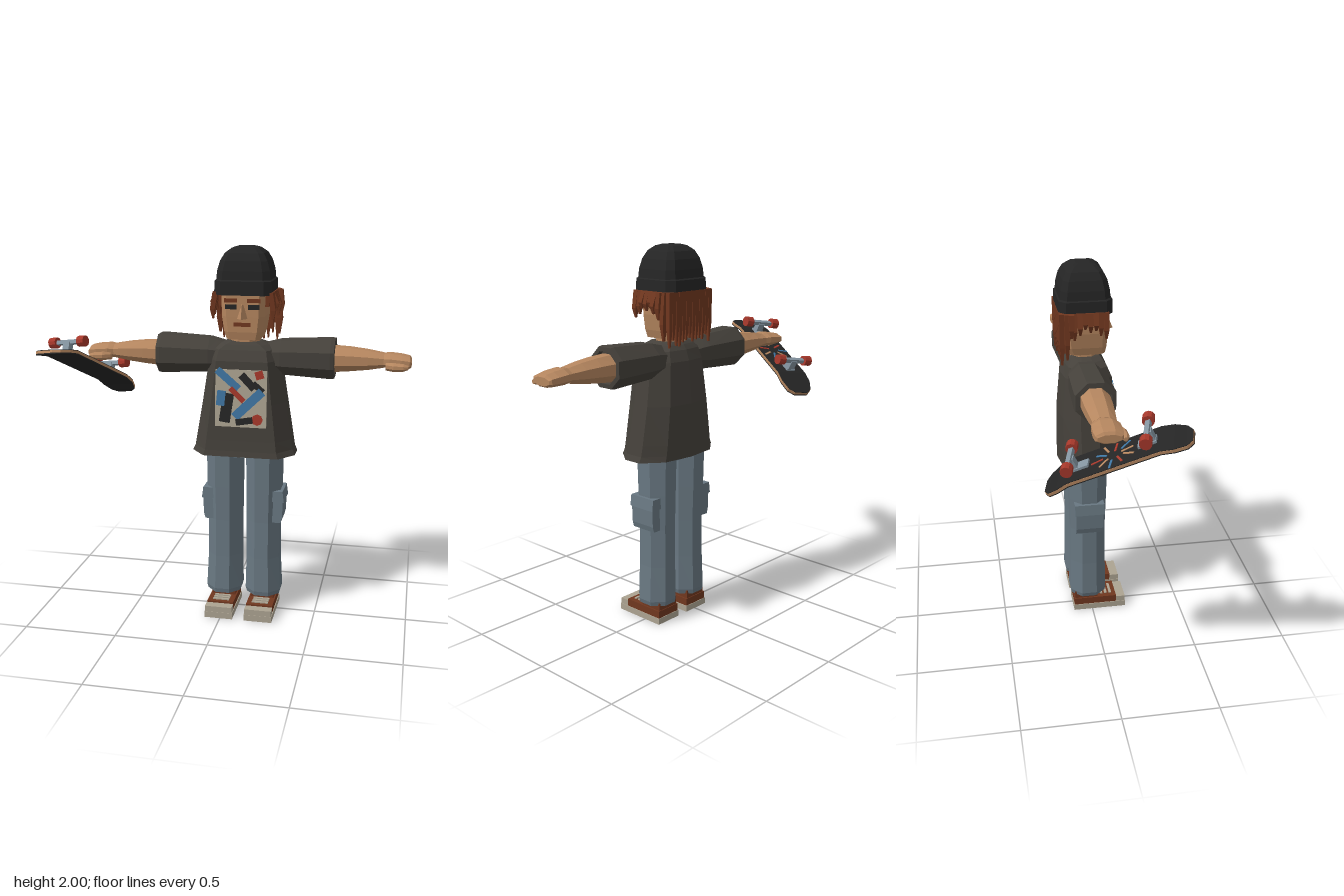
import * as THREE from 'three';

const CX = 0.1; // body centre line
const mat = (name, color) => { const m = new THREE.MeshStandardMaterial({ color }); m.name = name; return m; };

// Unit cross-sections, as [u, v] corners
const OCT = Array.from({ length: 8 }, (_, i) => {
  const a = (i + 0.5) * Math.PI / 4;
  return [Math.cos(a) / Math.cos(Math.PI / 8), Math.sin(a) / Math.cos(Math.PI / 8)];
});
const BEVEL = [[1, 0.75], [0.75, 1], [-0.75, 1], [-1, 0.75], [-1, -0.75], [-0.75, -1], [0.75, -1], [1, -0.75]];
const TORSO = [[1, 0.35], [0.72, 1], [-0.72, 1], [-1, 0.35], [-1, -0.3], [-0.62, -0.86], [0, -1], [0.62, -0.86], [1, -0.3]];
const RECT = [[1, 1], [-1, 1], [-1, -1], [1, -1]];

const ringY = (shape, y, cx, cz, hx, hz) => shape.map(([u, v]) => [cx + u * hx, y, cz + v * hz]);
const ringX = (shape, x, cy, cz, hy, hz) => shape.map(([u, v]) => [x, cy + u * hy, cz + v * hz]);
const ringZ = (shape, z, cx, cy, hx, hy) => shape.map(([u, v]) => [cx + u * hx, cy + v * hy, z]);

// Faceted skin over a list of rings, capped at both ends and turned outward
function loft(name, material, rings) {
  const tris = [], n = rings[0].length;
  const centre = r => r.reduce((s, p) => s.map((c, k) => c + p[k] / n), [0, 0, 0]);
  const c0 = centre(rings[0]), last = rings[rings.length - 1], c1 = centre(last);
  for (let j = 0; j < n; j++) {
    const k = (j + 1) % n;
    for (let i = 0; i < rings.length - 1; i++) {
      const a = rings[i], b = rings[i + 1];
      tris.push([a[j], a[k], b[k]], [a[j], b[k], b[j]]);
    }
    tris.push([c0, rings[0][k], rings[0][j]], [c1, last[j], last[k]]);
  }
  const V = p => new THREE.Vector3(...p);
  const volume = tris.reduce((s, [a, b, c]) => s + V(a).dot(V(b).cross(V(c))), 0);
  const pts = tris.flatMap(([a, b, c]) => (volume < 0 ? [a, c, b] : [a, b, c])).flat();
  const g = new THREE.BufferGeometry();
  g.setAttribute('position', new THREE.Float32BufferAttribute(pts, 3));
  g.computeVertexNormals();
  const m = new THREE.Mesh(g, material);
  m.name = name;
  return m;
}

function mesh(name, geometry, material, x, y, z) {
  const g = geometry.index ? geometry.toNonIndexed() : geometry;
  g.computeVertexNormals();
  const m = new THREE.Mesh(g, material);
  m.name = name;
  m.position.set(x, y, z);
  return m;
}
const box = (name, material, w, h, d, x, y, z) => mesh(name, new THREE.BoxGeometry(w, h, d), material, x, y, z);
const group = name => { const g = new THREE.Group(); g.name = name; return g; };

export function createModel() {
  const black = mat('black', 0x252525), cloth = mat('shirt charcoal', 0x45413b), skin = mat('skin', 0xb5865f);
  const hairM = mat('rust brown', 0x70371f), denim = mat('faded denim', 0x697882), beige = mat('beige', 0xaca391);
  const red = mat('red', 0xa6382b), blue = mat('blue', 0x3f76a3), metal = mat('metal', 0x8494a0);
  const model = group('skater');

  // Shirt body: recessed opening, hem, chest, shoulders
  const T = (y, hx, zf, zb) => ringY(TORSO, y, CX, (zf + zb) / 2, hx, (zf - zb) / 2);
  model.add(loft('shirt', cloth, [
    T(1.0, 0.2, 0.1, -0.13), T(0.92, 0.262, 0.13, -0.157), T(0.915, 0.277, 0.14, -0.168), T(0.945, 0.264, 0.134, -0.168),
    T(1.0, 0.255, 0.13, -0.17), T(1.2, 0.222, 0.1195, -0.168), T(1.42, 0.188, 0.108, -0.15),
    T(1.475, 0.172, 0.085, -0.13), T(1.5, 0.13, 0.068, -0.112), T(1.515, 0.088, 0.055, -0.095)]));

  // Shirt print: panel with scattered bars, [material, x, y, w, h, angle]
  const print = group('shirtPrint');
  print.position.set(CX, 1.228, 0.121);
  print.rotation.x = -0.052;
  print.add(box('printPanel', beige, 0.272, 0.302, 0.006, 0, 0, 0));
  [[blue, -0.07, 0.1, 0.15, 0.04, -0.7], [black, 0.036, 0.09, 0.1, 0.04, -0.8], [red, 0.096, 0.127, 0.042, 0.042, 0.3],
    [black, 0.09, 0.062, 0.07, 0.03, -0.7], [blue, 0.04, -0.028, 0.2, 0.048, 0.77], [black, -0.075, -0.05, 0.058, 0.155, -0.14],
    [blue, -0.105, 0.0, 0.045, 0.08, -0.1], [red, -0.02, 0.02, 0.1, 0.028, -0.75], [black, 0.02, -0.118, 0.09, 0.034, 0.18]
  ].forEach(([m, x, y, w, h, a], i) => {
    const b = box('printBar', m, w, h, 0.003, x, y, 0.0035 + i * 0.0005);
    b.rotation.z = a;
    print.add(b);
  });
  const dot = mesh('printDot', new THREE.CylinderGeometry(0.03, 0.03, 0.004, 8), red, 0.088, -0.108, 0.006);
  dot.rotation.x = Math.PI / 2;
  print.add(dot);
  model.add(print);

  // Neck, head and face
  const head = group('head');
  head.add(loft('neck', skin, [ringY(OCT, 1.45, CX, -0.02, 0.078, 0.075), ringY(OCT, 1.57, CX, -0.02, 0.074, 0.075)]));
  head.add(loft('face', skin, [[1.53, -0.01, 0.088, 0.092], [1.57, -0.016, 0.1, 0.106], [1.65, -0.02, 0.112, 0.113], [1.79, -0.02, 0.114, 0.115]]
    .map(([y, z, hx, hz]) => ringY(BEVEL, y, CX, z, hx, hz))));
  head.add(loft('nose', skin, [
    ringY([[1, -1], [0, 1], [-1, -1]], 1.64, CX, 0.108, 0.034, 0.026),
    ringY([[1, -1], [0, 1], [-1, -1]], 1.715, CX, 0.094, 0.008, 0.01)]));
  head.add(box('mouth', hairM, 0.088, 0.02, 0.008, CX, 1.61, 0.092));
  for (const s of [-1, 1]) {
    head.add(box('eye', black, 0.058, 0.024, 0.008, CX + s * 0.06, 1.7, 0.093));
    head.add(box('eyebrow', hairM, 0.068, 0.02, 0.009, CX + s * 0.06, 1.733, 0.095));
  }

  // Hair: back sheet, side sheets and hanging strands
  const hair = group('hair');
  hair.add(box('backHair', hairM, 0.25, 0.21, 0.03, CX, 1.665, -0.135));
  const rnd = i => { const v = Math.sin(i * 12.9898) * 43758.5453; return v - Math.floor(v); };
  const strand = (x, z, len, w, lean) => hair.add(loft('strand', hairM, [
    ringY(RECT, 1.775, x, z, w, 0.014), ringY(RECT, 1.775 - len * 0.65, x + lean, z, w * 0.9, 0.012),
    ringY(RECT, 1.775 - len, x + lean * 0.8, z, w * 0.3, 0.005)]));
  for (let i = 0; i < 13; i++) strand(CX - 0.145 + i * 0.0242, -0.15, 0.23 + rnd(i + 1) * 0.045, 0.012, 0);
  for (const s of [-1, 1]) {
    hair.add(box('sideHair', hairM, 0.02, 0.07, 0.2, CX + s * 0.122, 1.735, -0.04));
    for (let i = 0; i < 8; i++) strand(CX + s * 0.142, 0.075 - i * 0.027, 0.07 + rnd(i + 30) * 0.07, 0.014, s * (0.01 + rnd(i + 50) * 0.02));
    strand(CX + s * 0.15, -0.125, 0.24, 0.018, s * 0.012);
    strand(CX + s * 0.168, -0.105, 0.12, 0.012, s * 0.01);
  }
  head.add(hair);

  // Beanie: turned-up cuff and domed crown
  const H = (y, hx, hz) => ringY(BEVEL, y, CX, -0.025, hx, hz);
  head.add(loft('beanieCuff', black, [H(1.76, 0.15, 0.138), H(1.83, 0.147, 0.136), H(1.837, 0.138, 0.128)]));
  head.add(loft('beanieCrown', black, [H(1.82, 0.141, 0.13), H(1.88, 0.136, 0.124), H(1.93, 0.122, 0.112),
    H(1.968, 0.1, 0.092), H(1.992, 0.068, 0.062), H(2.0, 0.04, 0.036)]));
  model.add(head);

  // Arms, legs and shoes, one set per side
  for (const s of [-1, 1]) {
    const side = s > 0 ? 'left' : 'right';
    const A = (d, cy, hy, hz) => ringX(OCT, CX + s * d, cy, -0.03, hy, hz);
    const arm = group(side + 'Arm');
    arm.add(loft('sleeve', cloth, [A(0.08, 1.425, 0.07, 0.075), A(0.15, 1.432, 0.08, 0.088), A(0.19, 1.432, 0.09, 0.096),
      A(0.45, 1.432, 0.103, 0.104), A(0.47, 1.432, 0.1, 0.1), A(0.472, 1.432, 0.078, 0.08), A(0.45, 1.432, 0.074, 0.076)]));
    arm.add(loft('forearm', skin, [A(0.44, 1.43, 0.068, 0.072), A(0.55, 1.432, 0.06, 0.07), A(0.64, 1.432, 0.05, 0.064),
      A(0.72, 1.432, 0.036, 0.057)]));
    arm.add(loft('hand', skin, [A(0.715, 1.432, 0.034, 0.056), A(0.75, 1.433, 0.038, 0.068), A(0.81, 1.43, 0.035, 0.071),
      A(0.85, 1.427, 0.03, 0.066), A(0.86, 1.424, 0.02, 0.056)]));
    arm.add(loft('thumb', skin, [[0.73, 0.02, 0.02], [0.77, 0.042, 0.022], [0.82, 0.048, 0.018], [0.845, 0.046, 0.01]]
      .map(([d, z, r]) => ringX(OCT, CX + s * d, 1.41, z, r, r))));
    model.add(arm);

    const leg = group(side + 'Leg');
    const L = (y, d, hx, hz) => ringY(OCT, y, CX + s * d, -0.02, hx, hz);
    leg.add(loft('trouserLeg', denim, [L(0.1, 0.11, 0.09, 0.095), L(0.125, 0.11, 0.097, 0.1), L(0.32, 0.107, 0.09, 0.096),
      L(0.53, 0.106, 0.09, 0.094), L(0.72, 0.108, 0.094, 0.1), L(1.02, 0.108, 0.098, 0.108)]));
    leg.add(loft('cargoPocket', denim, [[0.53, 0.182, 0.026], [0.56, 0.186, 0.03], [0.66, 0.19, 0.03]]
      .map(([y, d, hx]) => ringY(RECT, y, CX + s * d, -0.02, hx, 0.075))));
    leg.add(loft('pocketFlap', denim, [[0.65, 0.192, 0.034], [0.71, 0.19, 0.028]]
      .map(([y, d, hx]) => ringY(RECT, y, CX + s * d, -0.02, hx, 0.081))));

    const x = CX + s * 0.109;
    leg.add(box('sole', beige, 0.154, 0.034, 0.296, x, 0.017, 0.043));
    leg.add(box('toeCap', beige, 0.148, 0.034, 0.052, x, 0.049, 0.163));
    leg.add(box('shoeUpper', hairM, 0.146, 0.044, 0.24, x, 0.052, 0.018));
    leg.add(box('shoeCollar', hairM, 0.13, 0.05, 0.13, x, 0.093, -0.033));
    for (let i = 0; i < 3; i++) leg.add(box('lace', beige, 0.09, 0.008, 0.014, x, 0.076, 0.055 + i * 0.026));
    model.add(leg);
  }
  model.add(box('hips', denim, 0.22, 0.13, 0.17, CX, 0.955, -0.02));

  // Skateboard, held upside down and tilted: local z along the deck, local y toward the wheels
  const board = group('skateboard');
  const deck = [[-0.37, 0.045, -0.036], [-0.345, 0.08, -0.03], [-0.29, 0.1, -0.014], [-0.23, 0.1, 0],
    [0.23, 0.1, 0], [0.29, 0.1, -0.014], [0.345, 0.08, -0.03], [0.37, 0.045, -0.036]];
  const layer = (name, m, y, t, inset) => board.add(loft(name, m, deck.map(([z, w, d]) => ringZ(RECT, z, 0, y + d, w - inset, t / 2))));
  layer('deckCore', skin, 0, 0.014, 0);
  layer('gripSheet', black, -0.0095, 0.006, 0.001);
  layer('deckPaint', black, 0.0085, 0.004, 0.002);
  for (const s of [-1, 1]) {
    const z = s * 0.195;
    board.add(box('trackPlate', metal, 0.055, 0.012, 0.09, 0, 0.016, z - s * 0.025));
    board.add(box('truckHanger', metal, 0.04, 0.05, 0.035, 0, 0.045, z));
    board.add(box('axle', metal, 0.16, 0.022, 0.024, 0, 0.07, z));
    for (const e of [-1, 1]) {
      const w = mesh('wheel', new THREE.CylinderGeometry(0.029, 0.029, 0.044, 10), red, e * 0.092, 0.072, z);
      w.rotation.z = Math.PI / 2;
      board.add(w);
    }
  }
  // Painted burst on the underside
  for (let i = 0; i < 10; i++) {
    const a = i * Math.PI / 5 + 0.2, r = 0.055 + 0.012 * (i % 2);
    const ray = box('paintedRay', [skin, blue, red][i % 3], 0.011, 0.003, 0.06, Math.sin(a) * r, 0.0115, Math.cos(a) * r * 1.25);
    ray.rotation.y = a;
    board.add(ray);
  }
  const tilt = 0.478, turn = 0.305;
  const up = new THREE.Vector3(0, Math.cos(tilt), -Math.sin(tilt));
  const along = new THREE.Vector3(-Math.sin(turn), Math.cos(turn) * Math.sin(tilt), Math.cos(turn) * Math.cos(tilt));
  board.quaternion.setFromRotationMatrix(new THREE.Matrix4().makeBasis(up.clone().cross(along), up, along));
  board.position.set(-0.775, 1.343, -0.01);
  model.add(board);
  return model;
}
